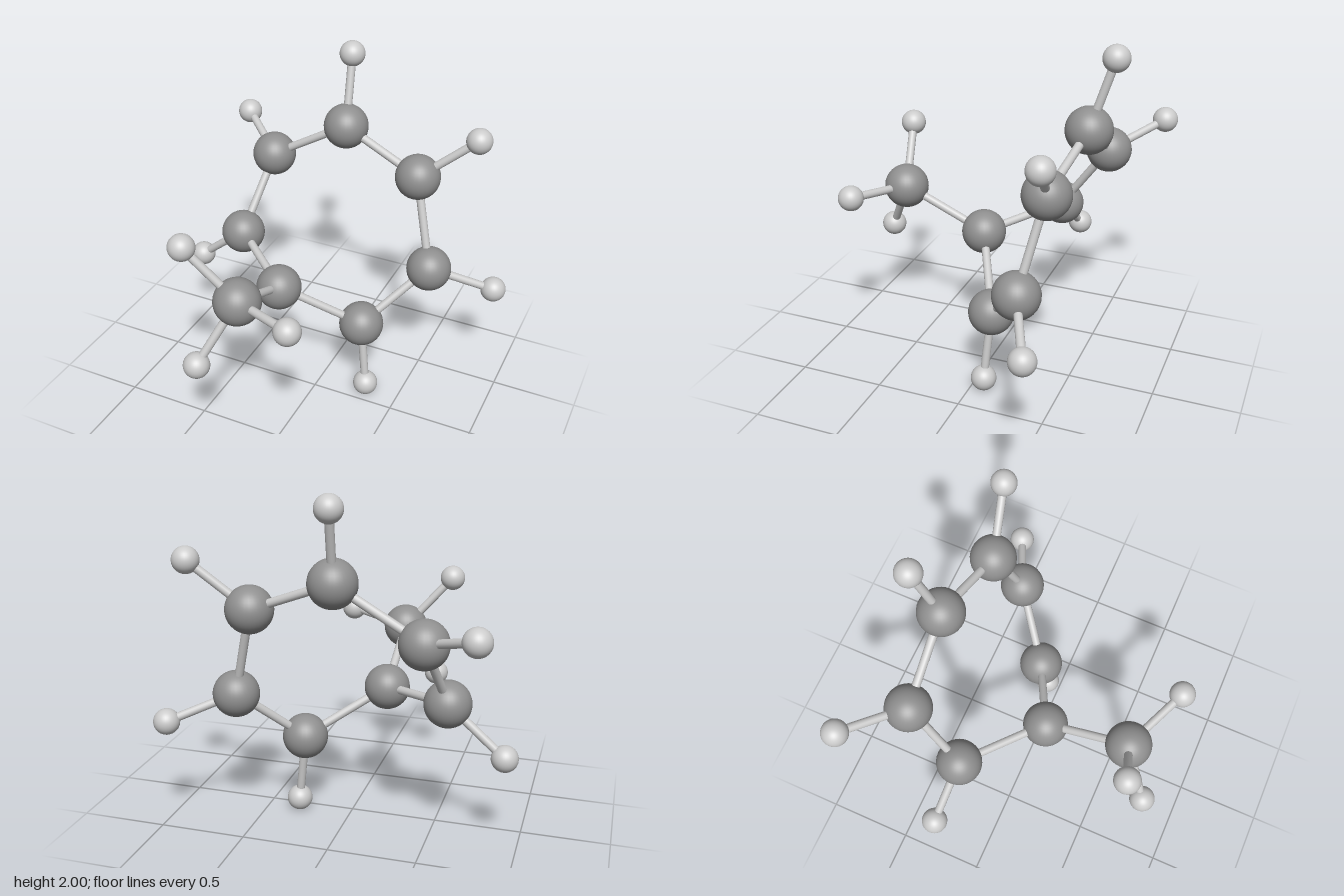
import * as THREE from 'three';

// Atom centres: seven-membered ring, the methyl carbon, then the hydrogens
const ring = [
  [-0.055, 1.53, -0.54], [0.425, 1.34, -0.47], [0.563, 0.817, -0.365], [0.254, 0.493, -0.105],
  [-0.177, 0.765, 0.112], [-0.6, 0.836, -0.238], [-0.527, 1.253, -0.535],
];
const methyl = [-0.165, 0.988, 0.608];
const ringHydrogens = { // keyed by the ring carbon they sit on
  0: [-0.077, 1.927, -0.663], 1: [0.743, 1.6, -0.54], 2: [0.917, 0.672, -0.527],
  3: [0.304, 0.077, -0.077], 5: [-0.92, 0.57, -0.268], 6: [-0.83, 1.371, -0.792],
};
const methylHydrogens = [[-0.437, 1.294, 0.682], [0.215, 1.031, 0.777], [-0.33, 0.636, 0.79]];

export function createModel() {
  const model = new THREE.Group();
  const carbonMat = new THREE.MeshStandardMaterial({ color: 0x909090 });
  const hydrogenMat = new THREE.MeshStandardMaterial({ color: 0xffffff });
  const bondMat = new THREE.MeshStandardMaterial({ color: 0xcccccc });
  const carbonGeo = new THREE.SphereGeometry(0.131, 32, 24);
  const hydrogenGeo = new THREE.SphereGeometry(0.074, 32, 24);

  function add(name, geometry, material) {
    const mesh = new THREE.Mesh(geometry, material);
    mesh.name = name;
    model.add(mesh);
    return mesh;
  }
  const carbon = (name, p) => add(name, carbonGeo, carbonMat).position.set(...p);

  // Thin rod between two atom centres
  function bond(a, b) {
    const start = new THREE.Vector3(...a), end = new THREE.Vector3(...b);
    const dir = end.clone().sub(start);
    const rod = add('bond', new THREE.CylinderGeometry(0.024, 0.024, dir.length(), 16), bondMat);
    rod.position.copy(start).add(end).multiplyScalar(0.5);
    rod.quaternion.setFromUnitVectors(new THREE.Vector3(0, 1, 0), dir.normalize());
  }
  function hydrogen(p, parent) {
    add('hydrogenAtom', hydrogenGeo, hydrogenMat).position.set(...p);
    bond(parent, p);
  }

  // Ring with its hydrogens
  ring.forEach((p, i) => {
    carbon('ringCarbonAtom', p);
    bond(p, ring[(i + 1) % ring.length]);
    if (ringHydrogens[i]) hydrogen(ringHydrogens[i], p);
  });

  // Methyl side group
  carbon('methylCarbonAtom', methyl);
  bond(ring[4], methyl);
  methylHydrogens.forEach((p) => hydrogen(p, methyl));

  return model;
}
